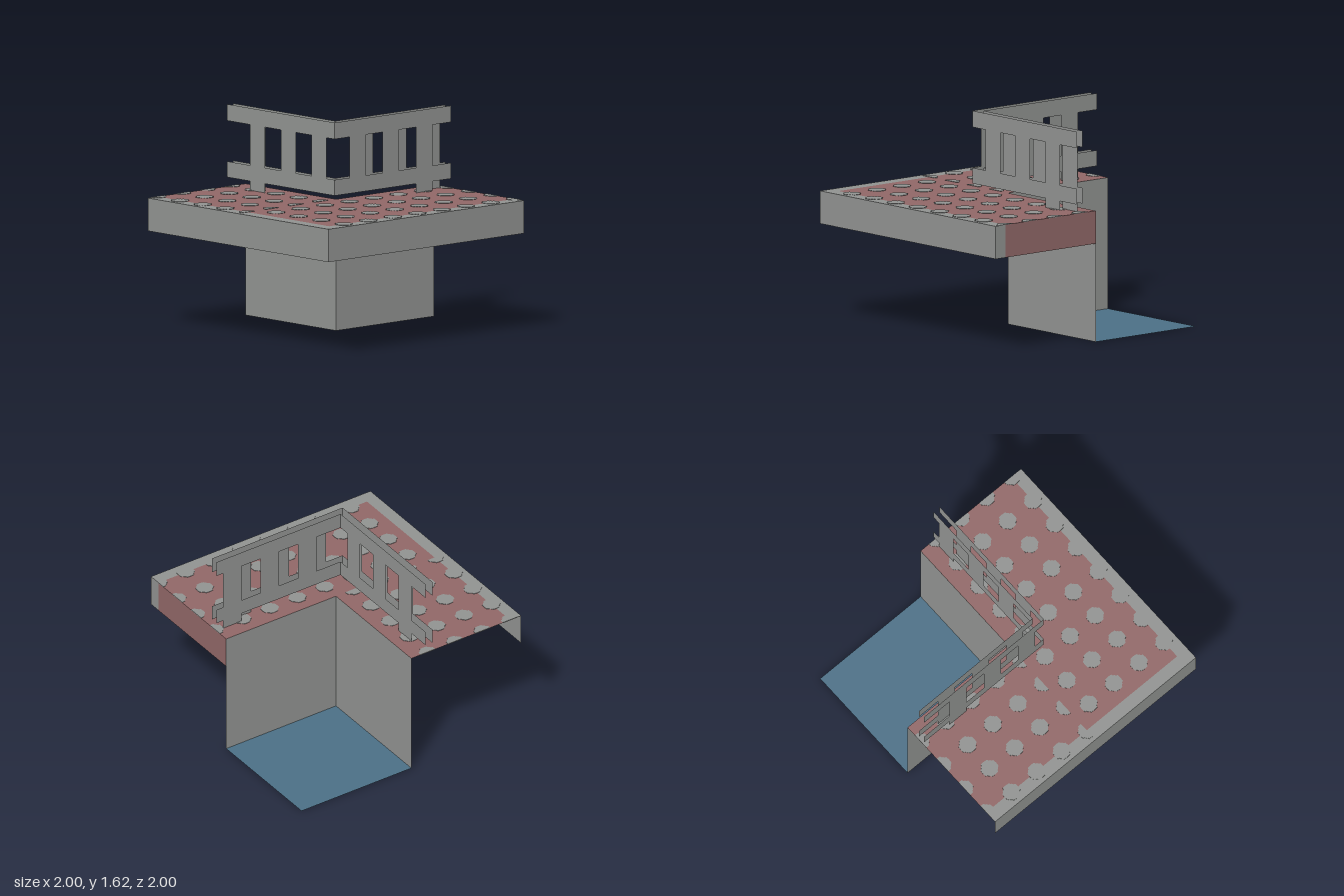
import * as THREE from 'three';

function material(name, color) {
  const m = new THREE.MeshStandardMaterial({ color, side: THREE.DoubleSide });
  m.name = name;
  return m;
}

// Rectangle shape from two opposite corners
function rect(u0, v0, u1, v1) {
  return new THREE.Shape([
    new THREE.Vector2(u0, v0), new THREE.Vector2(u1, v0),
    new THREE.Vector2(u1, v1), new THREE.Vector2(u0, v1),
  ]);
}

// Rounded cross outline, clamped to the tile edges
const QUARTER = [[0.067, 0], [0.064, 0.03], [0.05, 0.036], [0.046, 0.046], [0.036, 0.05], [0.03, 0.064]];
function dot(cx, cz, minX, maxX, minZ, maxZ) {
  const pts = [];
  for (let q = 0; q < 4; q++) {
    const c = Math.round(Math.cos(q * Math.PI / 2)), s = Math.round(Math.sin(q * Math.PI / 2));
    for (const [a, b] of QUARTER) {
      const x = THREE.MathUtils.clamp(cx + a * c - b * s, minX, maxX);
      const z = THREE.MathUtils.clamp(cz + a * s + b * c, minZ, maxZ);
      pts.push(new THREE.Vector2(x, -z));
    }
  }
  return new THREE.Shape(pts.reverse());
}

export function createModel() {
  const model = new THREE.Group();
  const gray = material('stone gray', 0x909290);
  const red = material('faded red', 0x906767);
  const blue = material('water blue', 0x4b6f86);

  function add(name, geometry, mat) {
    const mesh = new THREE.Mesh(geometry, mat);
    mesh.name = name;
    model.add(mesh);
    return mesh;
  }
  // Horizontal sheet: x0, z0, x1, z1 at height y
  const floor = (name, mat, y, ...rects) =>
    add(name, new THREE.ShapeGeometry(rects.map(([x0, z0, x1, z1]) => rect(x0, -z1, x1, -z0)))
      .rotateX(-Math.PI / 2).translate(0, y, 0), mat);
  // Upright sheets facing z or x, from rectangles in (length, height)
  const facingZ = (name, mat, z, shapes) =>
    add(name, new THREE.ShapeGeometry(shapes).translate(0, 0, z), mat);
  const facingX = (name, mat, x, shapes) =>
    add(name, new THREE.ShapeGeometry(shapes).rotateY(-Math.PI / 2).translate(x, 0, 0), mat);

  // Water and the two walls of the inner corner
  floor('water', blue, 0, [-1, -1, 0, 0]);
  facingX('sideWall', gray, 0, [rect(-1, 0, 0, 1)]);
  facingZ('innerWall', gray, 0, [rect(-1, 0, 0, 1)]);

  // L-shaped deck: carpet, plain border and spots
  floor('carpet', red, 1, [0, -1, 0.9, 0.9], [-1, 0, 0, 0.9]);
  floor('deckBorder', gray, 1, [0.9, -1, 1, 1], [-1, 0.9, 0.9, 1]);
  const dots = [];
  for (const a of [0.15, 0.4, 0.65, 0.9]) {
    for (let i = 0; i < 8; i++) dots.push(dot(a, -1 + i * 0.25, 0, 1, -1, 1));
    for (let i = 0; i < 5; i++) dots.push(dot(-1 + i * 0.25, a, -1, 0, 0, 1));
  }
  add('carpetSpots', new THREE.ExtrudeGeometry(dots, { depth: 0.006, bevelEnabled: false })
    .translate(0, 0, -0.003).rotateX(-Math.PI / 2).translate(0, 1, 0), gray);

  // Deck edges
  facingZ('frontEdge', gray, 1, [rect(-1, 0.75, 1, 1)]);
  facingX('sideEdge', gray, 1, [rect(-1, 0.75, 1, 1)]);
  facingZ('backEdge', red, -1, [rect(0, 0.75, 0.9, 1)]);
  facingZ('backEdgeEnd', gray, -1, [rect(0.9, 0.75, 1, 1)]);

  // Railing: two parallel sheets on each run, first post reaching the deck
  function railing(end, posts) {
    const shapes = [rect(-1, 1.07, end, 1.19), rect(-1, 1.5, end, 1.625)];
    for (const p of posts) shapes.push(rect(p, 1.19, p + 0.168, 1.5));
    shapes.push(rect(posts[0], 1, posts[0] + 0.168, 1.07));
    return shapes;
  }
  facingZ('frontRailingOuter', gray, 0.19, railing(0.19, [-0.747, -0.405, -0.067]));
  facingZ('frontRailingInner', gray, 0.13, railing(0.13, [-0.81, -0.47, -0.13]));
  facingX('sideRailingOuter', gray, 0.19, railing(0.19, [-0.81, -0.467, -0.13]));
  facingX('sideRailingInner', gray, 0.13, railing(0.13, [-0.94, -0.6, -0.257]));

  return model;
}
